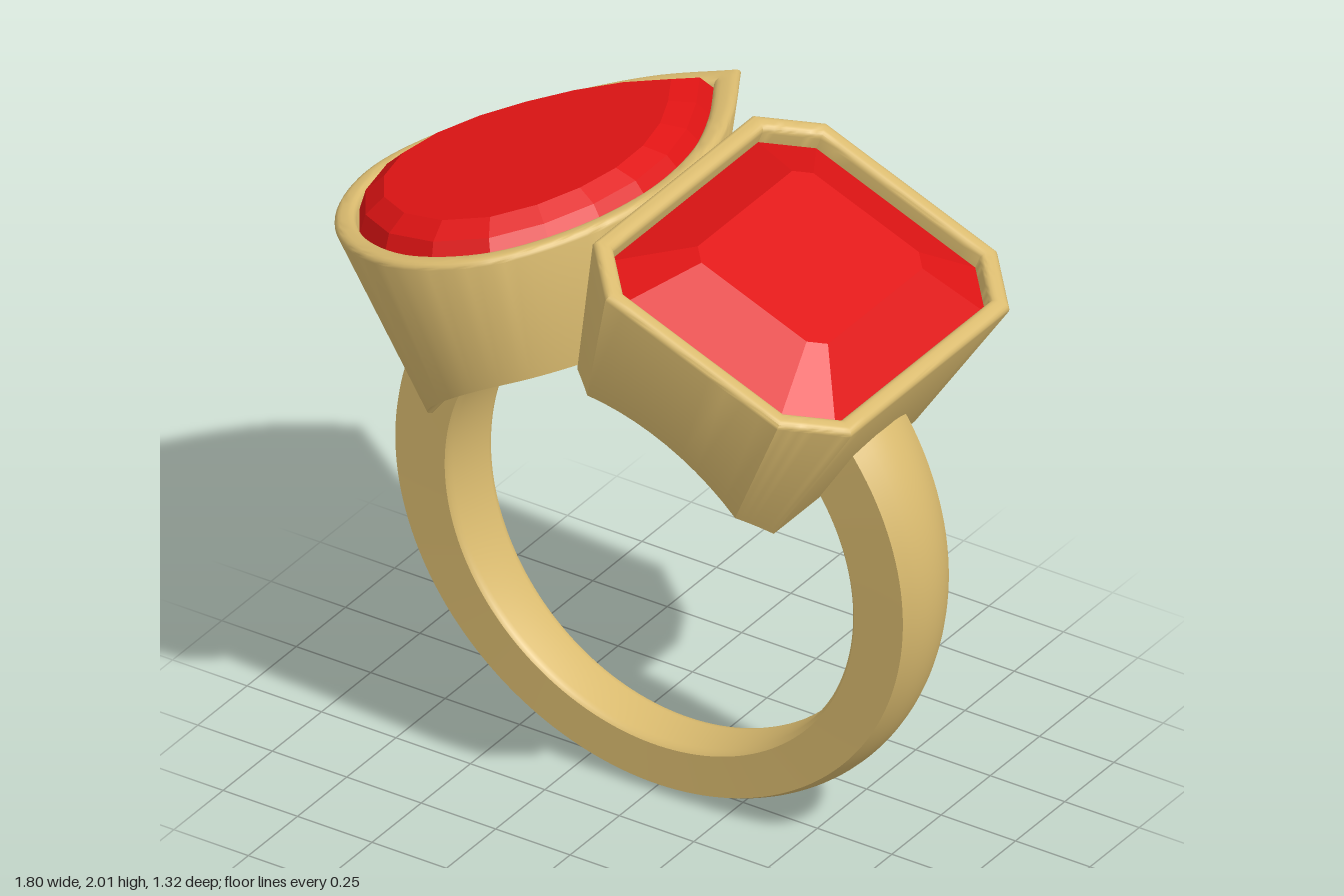
import * as THREE from 'three';
import { toCreasedNormals } from 'three/addons/utils/BufferGeometryUtils.js';

const gold = new THREE.MeshStandardMaterial({ color: 0xdabb6f });
const red = new THREE.MeshStandardMaterial({ color: 0xe01414 });

// Finger hole: axis along z
const HOLE = { x: 0.012, y: 0.84, r: 0.675 };

// Skin a list of closed rings; optionally join last to first, or cap both ends
function loft(rows, { closed = false, caps = false, crease = 0.6 } = {}) {
  const n = rows[0].length, pos = [], idx = [];
  rows.forEach(r => r.forEach(p => pos.push(p.x, p.y, p.z)));
  const last = closed ? rows.length : rows.length - 1;
  for (let r = 0; r < last; r++) {
    const s = ((r + 1) % rows.length) * n;
    for (let i = 0; i < n; i++) {
      const j = (i + 1) % n;
      const a = r * n + i, b = s + i, c = r * n + j, d = s + j;
      idx.push(a, b, c, b, d, c);
    }
  }
  if (caps) {
    [0, rows.length - 1].forEach((r, k) => {
      const mid = rows[r].reduce((m, p) => m.add(p), new THREE.Vector3()).divideScalar(n);
      const m = pos.length / 3;
      pos.push(mid.x, mid.y, mid.z);
      for (let i = 0; i < n; i++) {
        const a = r * n + i, b = r * n + (i + 1) % n;
        idx.push(m, k ? b : a, k ? a : b);
      }
    });
  }
  const g = new THREE.BufferGeometry();
  g.setAttribute('position', new THREE.Float32BufferAttribute(pos, 3));
  g.setIndex(idx);
  return toCreasedNormals(g, crease);
}

function mesh(name, geometry, material) {
  const m = new THREE.Mesh(geometry, material);
  m.name = name;
  return m;
}

// Tilted setting plane: local (u, z) plus height along its normal
function plane(cx, cy, tilt) {
  const c = Math.cos(tilt), s = Math.sin(tilt);
  return (p, h) => new THREE.Vector3(cx + p.x * c - h * s, cy + p.x * s + h * c, p.y);
}

// Octagon with half sizes a, b and corner cut c
function octagon(a, b, c) {
  return [[a, -b + c], [a, b - c], [a - c, b], [-a + c, b], [-a, b - c], [-a, -b + c], [-a + c, -b], [a - c, -b]]
    .map(p => new THREE.Vector2(...p));
}
function subdivide(pts, k) {
  return pts.flatMap((p, i) => Array.from({ length: k }, (_, j) =>
    p.clone().lerp(pts[(i + 1) % pts.length], j / k)));
}

// Pear outline running from the pointed tip round and back
const PEAR_MID = new THREE.Vector2(0, 0.12), PEAR_R = 0.47;
const pearCurve = new THREE.CatmullRomCurve3([
  [-0.2, -0.665], [-0.07, -0.43], [0.01, -0.2], [0.022, 0.08], [-0.07, 0.37], [-0.24, 0.58], [-0.48, 0.658],
  [-0.7, 0.585], [-0.85, 0.41], [-0.905, 0.15], [-0.82, -0.12], [-0.65, -0.36], [-0.42, -0.565], [-0.2, -0.665],
].map(([x, z]) => new THREE.Vector3((x + 0.44) / 0.98, 0, z)));
function pear(inset, n) {
  const s = 1 - inset / PEAR_R;
  return pearCurve.getSpacedPoints(n).slice(0, n).map(p =>
    new THREE.Vector2(p.x, p.z).sub(PEAR_MID).multiplyScalar(s).add(PEAR_MID));
}

// Tapered open cup whose lower edge follows the finger hole
function bezel(outline, place, taper) {
  const at = (inset, h) => outline(inset).map(p => place(p, h));
  const cut = inset => {
    const top = at(inset, 0), low = at(inset + taper, -1);
    return top.map((p, i) => {
      const d = low[i].clone().sub(p);
      const ox = p.x - HOLE.x, oy = p.y - HOLE.y;
      const A = d.x * d.x + d.y * d.y, B = ox * d.x + oy * d.y;
      const D = B * B - A * (ox * ox + oy * oy - HOLE.r ** 2);
      const floor = (1.17 - p.y) / d.y;
      const t = D > 0 ? Math.min(floor, (-B - Math.sqrt(D)) / A) : floor;
      return p.clone().addScaledVector(d, t);
    });
  };
  const rows = [cut(0)];
  // rounded rim
  const w = 0.056, r = 0.02;
  for (let i = 0; i <= 4; i++) {
    const a = i / 4 * Math.PI / 2;
    rows.push(at(r - r * Math.cos(a), -r + r * Math.sin(a)));
  }
  for (let i = 0; i <= 4; i++) {
    const a = i / 4 * Math.PI / 2;
    rows.push(at(w - r + r * Math.sin(a), -r + r * Math.cos(a)));
  }
  // stone seat, then the inner wall
  rows.push(at(w, -0.1), at(0.09 + taper * 0.1, -0.1), cut(0.09));
  return loft(rows, { closed: true });
}

// Band tapering in width towards the bottom, domed outside and flat at the sides
function shank() {
  const rows = [], N = 120, from = -216 * Math.PI / 180, to = 38 * Math.PI / 180;
  for (let k = 0; k <= N; k++) {
    const a = from + (to - from) * k / N, off = 0.047, R = 0.887;
    const ro = off * Math.sin(a) + Math.sqrt(R * R - (off * Math.cos(a)) ** 2);
    const w = 0.085 + 0.05 * Math.min(1, (HOLE.y + ro * Math.sin(a)) / 1.38);
    const dome = 0.3 * w, sec = [];
    for (let i = 0; i <= 10; i++) {
      const s = i / 5 - 1;
      sec.push([ro - dome * s * s, s * w]);
    }
    const b = 0.012;
    sec.push([HOLE.r + b, w], [HOLE.r + b * 0.3, w - b * 0.7], [HOLE.r, w - 2 * b],
      [HOLE.r, -w + 2 * b], [HOLE.r + b * 0.3, -w + b * 0.7], [HOLE.r + b, -w]);
    rows.push(sec.map(([r, z]) =>
      new THREE.Vector3(HOLE.x + r * Math.cos(a), HOLE.y + r * Math.sin(a), z)));
  }
  return loft(rows, { caps: true });
}

export function createModel() {
  const ring = new THREE.Group();
  ring.name = 'ring';
  ring.add(mesh('shank', shank(), gold));

  // Left-hand setting: step-cut octagonal stone
  const octPlane = plane(0.452, 1.815, -0.375);
  const octOutline = d => subdivide(octagon(0.465 - d, 0.558 - d, 0.155 - 0.586 * d), 10);
  ring.add(mesh('octagonBezel', bezel(octOutline, octPlane, 0.2), gold));
  const octRows = [
    [0.04, 0.14, 0.02, -0.36], [0.28, 0.37, 0.08, -0.25], [0.41, 0.503, 0.12, -0.095],
    [0.415, 0.508, 0.125, -0.06], [0.235, 0.285, 0.045, 0.064],
  ].map(([a, b, c, h]) => octagon(a, b, c).map(p => octPlane(p, h)));
  ring.add(mesh('octagonStone', loft(octRows, { caps: true, crease: 0.01 }), red));

  // Right-hand setting: pear-shaped stone
  const pearPlane = plane(-0.44, 1.88, 0.202);
  ring.add(mesh('pearBezel', bezel(d => pear(d, 96), pearPlane, 0.23), gold));
  const pearRows = [
    [0.44, -0.38], [0.22, -0.25], [0.06, -0.07], [0.055, -0.03], [0.08, 0.025], [0.135, 0.062],
  ].map(([d, h]) => pear(d, 18).map(p => pearPlane(p, h)));
  ring.add(mesh('pearStone', loft(pearRows, { caps: true, crease: 0.01 }), red));
  return ring;
}
